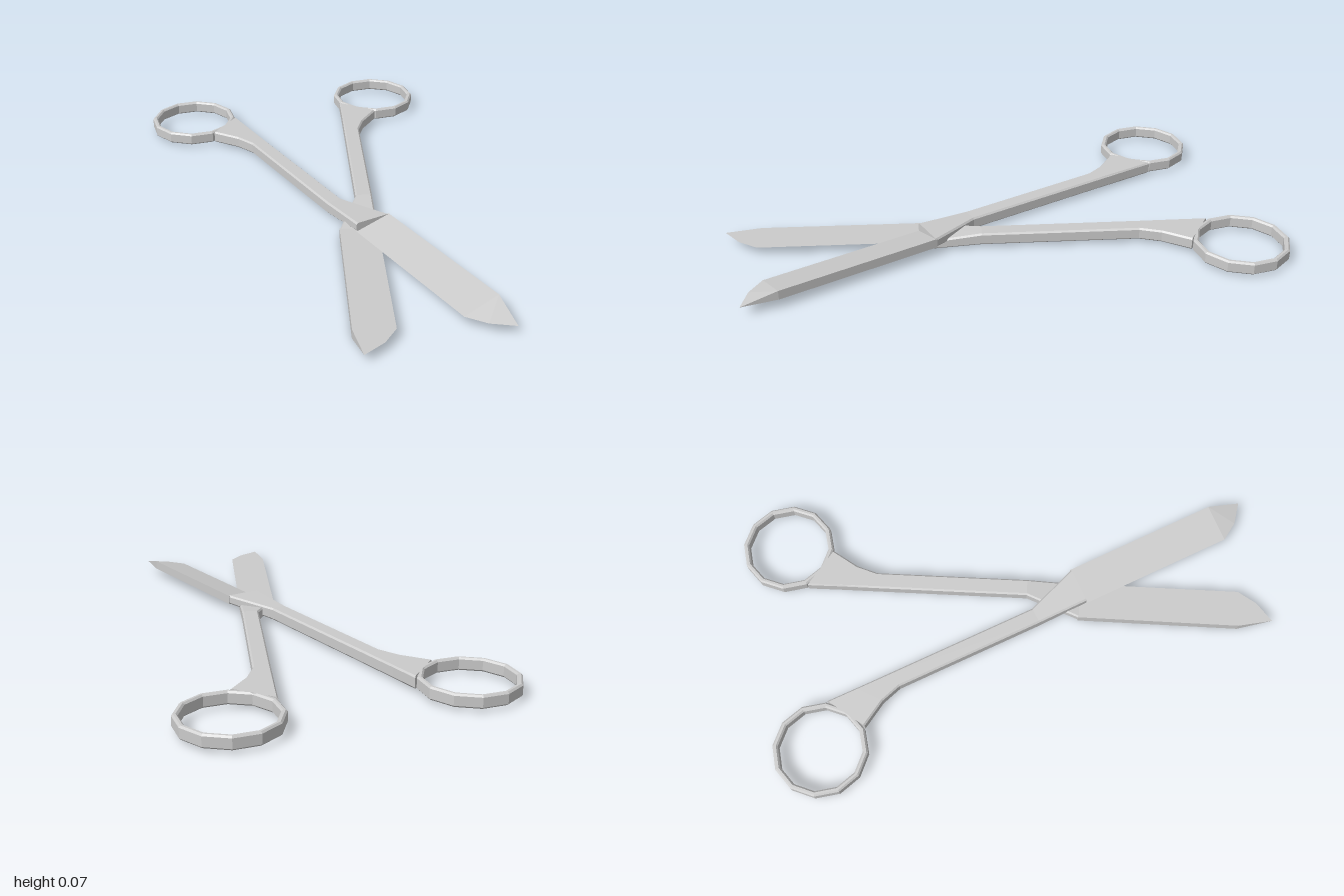
import * as THREE from 'three';

const steel = new THREE.MeshStandardMaterial({ color: 0xcccccc, flatShading: true });

// Skin a row of closed sections (counter-clockwise seen from +z) and cap both ends.
function loft(sections) {
  const pos = [];
  const tri = (a, b, c) => {
    const area = b.clone().sub(a).cross(c.clone().sub(a)).length();
    if (area > 1e-9) for (const p of [a, b, c]) pos.push(p.x, p.y, p.z);
  };
  const n = sections[0].length;
  for (let s = 0; s < sections.length - 1; s++) {
    const a = sections[s], b = sections[s + 1];
    for (let i = 0; i < n; i++) {
      const j = (i + 1) % n;
      tri(a[i], a[j], b[j]);
      tri(a[i], b[j], b[i]);
    }
  }
  const first = sections[0], last = sections[sections.length - 1];
  for (let i = 1; i < n - 1; i++) {
    tri(first[0], first[i + 1], first[i]);
    tri(last[0], last[i], last[i + 1]);
  }
  const geo = new THREE.BufferGeometry();
  geo.setAttribute('position', new THREE.Float32BufferAttribute(pos, 3));
  geo.computeVertexNormals();
  return geo;
}

// Chamfered bar section between a right and a left edge point, each [x, z].
function barSection([right, left, y0, y1]) {
  const width = Math.hypot(right[0] - left[0], right[1] - left[1]);
  const c = 0.006, t = c / width;
  const at = (k, y) => new THREE.Vector3(
    right[0] + (left[0] - right[0]) * k, y, right[1] + (left[1] - right[1]) * k);
  return [
    at(0, y0 + c), at(0, y1 - c), at(t, y1), at(1 - t, y1),
    at(1, y1 - c), at(1, y0 + c), at(1 - t, y0), at(t, y0),
  ];
}

function part(name, geo) {
  const mesh = new THREE.Mesh(geo, steel);
  mesh.name = name;
  return mesh;
}

// One half of the scissors, lying along z with its blade toward +z.
function createHalf(name) {
  const half = new THREE.Group();
  half.name = name;
  const low = 0.012, high = 0.058, mid = 0.036, top = 0.07;

  // Finger ring: twelve-sided, chamfered band
  const ro = 0.175, ri = 0.155, c = 0.006;
  const profile = [
    [ro, low + c], [ro, high - c], [ro - c, high], [ri + c, high],
    [ri, high - c], [ri, low + c], [ri + c, low], [ro - c, low], [ro, low + c],
  ].map(([r, y]) => new THREE.Vector2(r, y));
  const ring = part('fingerRing', new THREE.LatheGeometry(profile, 12));
  ring.position.set(-0.1255, 0, -0.828);
  half.add(ring);

  // Shank: flares into the ring, then steps up and widens at the pivot
  half.add(part('shank', loft([
    [[0.029, -0.735], [-0.118, -0.65], low, high],
    [[0.0275, -0.62], [-0.059, -0.551], low, high],
    [[0.027, -0.473], [-0.035, -0.473], low, high],
    [[0.0243, 0.105], [-0.038, 0.105], low, high],
    [[0.097, 0.309], [-0.0405, 0.305], mid, top],
  ].map(barSection))));

  // Blade: wedge from a thick spine to a cutting edge, with a sloped tip
  const wedge = (sx, sz, ex, ez, y) => [
    new THREE.Vector3(sx, mid, sz),
    new THREE.Vector3(sx, y, sz),
    new THREE.Vector3(ex, mid, ez),
  ];
  half.add(part('blade', loft([
    wedge(0.097, 0.305, -0.0405, 0.3, top),
    wedge(0.098, 0.914, -0.041, 0.9145, top),
    wedge(0.071, 1.042, 0.002, 0.984, mid),
  ])));
  return half;
}

export function createModel() {
  const model = new THREE.Group();
  model.name = 'scissors';

  const upper = createHalf('upperHalf');
  upper.rotation.y = THREE.MathUtils.degToRad(20.7);

  // Lower half: the same piece rolled over about its length
  const lower = createHalf('lowerHalf');
  lower.rotation.set(0, THREE.MathUtils.degToRad(-8.5), Math.PI);
  lower.position.set(0.157, 0.07, -0.025);

  model.add(upper, lower);
  return model;
}
